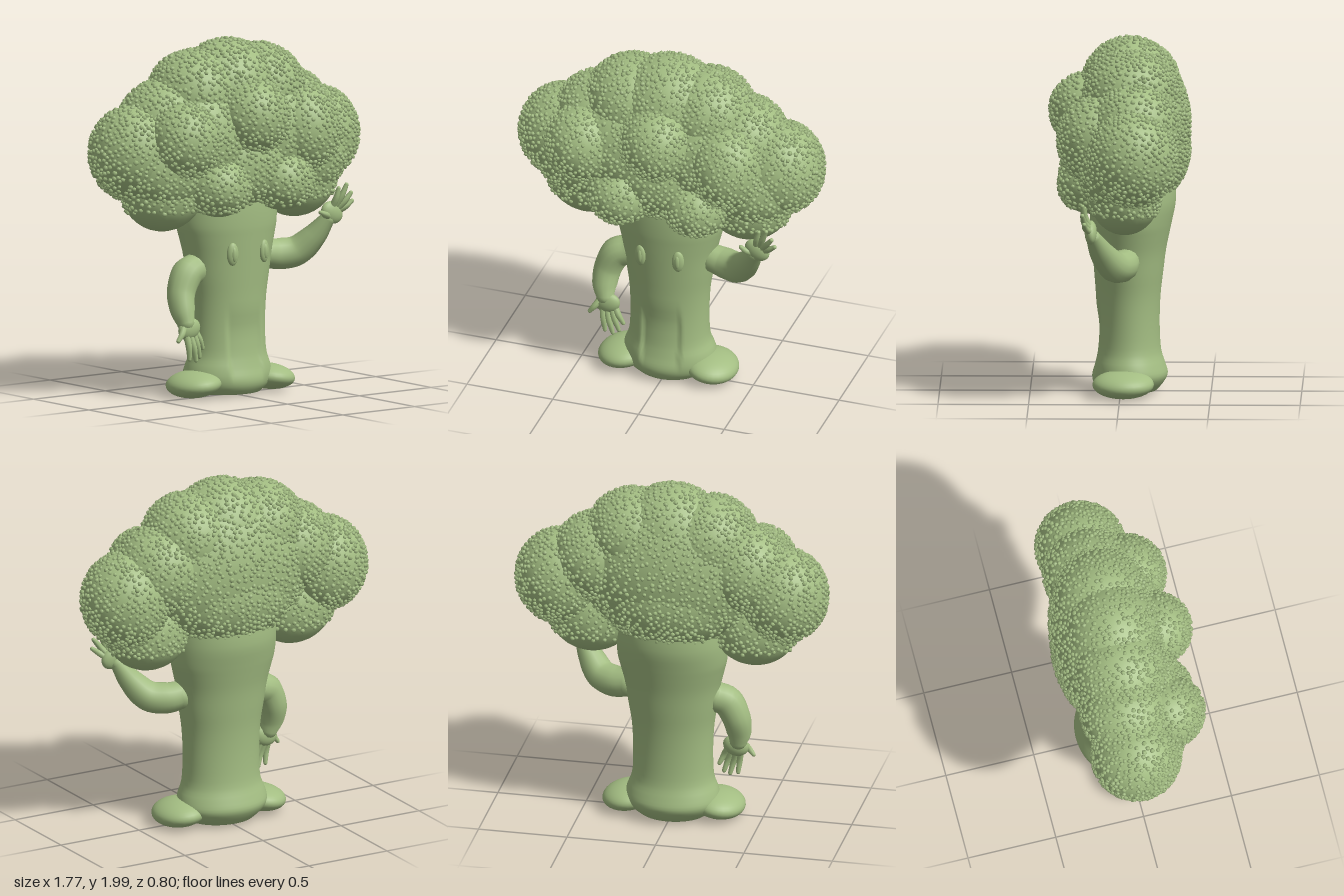
import * as THREE from 'three';
import { mergeGeometries, mergeVertices } from 'three/addons/utils/BufferGeometryUtils.js';

const green = new THREE.MeshStandardMaterial({ color: 0xa3bd82 });
green.name = 'broccoli green';

let seed = 7;
const rand = () => (seed = (seed * 16807) % 2147483647) / 2147483647;

function add(group, name, geometry) {
  const mesh = new THREE.Mesh(geometry, green);
  mesh.name = name;
  group.add(mesh);
  return mesh;
}

function ellipsoid(group, name, [x, y, z], [rx, ry, rz], ws = 32, hs = 20) {
  const mesh = add(group, name, new THREE.SphereGeometry(1, ws, hs).scale(rx, ry, rz));
  mesh.position.set(x, y, z);
  return mesh;
}

// Tube along points whose radius follows the given list, with round ends
function limb(points, radii, segments = 24, sides = 14) {
  const curve = new THREE.CatmullRomCurve3(points.map(p => new THREE.Vector3(...p)));
  const g = new THREE.TubeGeometry(curve, segments, 1, sides);
  const pos = g.attributes.position, v = new THREE.Vector3();
  for (let i = 0; i <= segments; i++) {
    const u = i / segments, c = curve.getPointAt(u);
    const f = u * (radii.length - 1), k = Math.min(Math.floor(f), radii.length - 2);
    const r = THREE.MathUtils.lerp(radii[k], radii[k + 1], f - k);
    for (let j = 0; j <= sides; j++) {
      const n = i * (sides + 1) + j;
      v.fromBufferAttribute(pos, n).sub(c).multiplyScalar(r).add(c);
      pos.setXYZ(n, v.x, v.y, v.z);
    }
  }
  const ball = (p, r) => new THREE.SphereGeometry(r, sides, 8).translate(...p);
  return mergeGeometries([g, ball(points[0], radii[0]), ball(points.at(-1), radii.at(-1))]);
}

// Crown lobes: centre, radii
const lobes = [
  [[0, 1.5, -0.07], [0.54, 0.44, 0.31]],
  [[0, 1.69, -0.05], [0.3, 0.295, 0.27]],
  [[0, 1.37, -0.1], [0.42, 0.31, 0.28]],
  [[0, 1.31, 0.08], [0.3, 0.245, 0.2]],
];
for (const s of [-1, 1]) {
  lobes.push(
    [[s * 0.22, 1.69, -0.06], [0.26, 0.25, 0.26]],
    [[s * 0.42, 1.54, -0.08], [0.25, 0.25, 0.25]],
    [[s * 0.63, 1.4, -0.075], [0.245, 0.265, 0.245]],
    [[s * 0.46, 1.18, -0.03], [0.245, 0.225, 0.2]],
    [[s * 0.22, 1.2, 0.16], [0.18, 0.165, 0.18]],
    [[s * 0.25, 1.46, 0.07], [0.28, 0.28, 0.2]],
    [[s * 0.47, 1.32, 0.02], [0.28, 0.24, 0.2]],
  );
}
lobes.push(
  [[-0.45, 1.48, 0.15], [0.2, 0.21, 0.2]],
  [[0.39, 1.47, 0.13], [0.21, 0.24, 0.21]],
  [[0, 1.58, 0.19], [0.2, 0.205, 0.2]],
);

function insideLobe(p, [c, r]) {
  return ((p.x - c[0]) / r[0]) ** 2 + ((p.y - c[1]) / r[1]) ** 2 + ((p.z - c[2]) / r[2]) ** 2 < 0.97;
}

// Little buds spread over the exposed surface of every lobe
function budGeometry() {
  const spots = [];
  const golden = Math.PI * (3 - Math.sqrt(5));
  for (const lobe of lobes) {
    const [c, r] = lobe;
    const mean = (r[0] + r[1] + r[2]) / 3;
    const count = Math.round(4 * Math.PI * mean * mean / 0.0008);
    for (let i = 0; i < count; i++) {
      const ny = THREE.MathUtils.clamp(1 - 2 * (i + 0.5) / count + (rand() - 0.5) * 0.04, -1, 1);
      const a = i * golden + (rand() - 0.5) * 0.02 / mean;
      const h = Math.sqrt(1 - ny * ny);
      const p = new THREE.Vector3(c[0] + r[0] * h * Math.cos(a), c[1] + r[1] * ny, c[2] + r[2] * h * Math.sin(a));
      if (p.y < 1.07 && ny < -0.45) continue; // bare undersides
      if (lobes.some(o => o !== lobe && insideLobe(p, o))) continue;
      if (spots.some(q => q.distanceToSquared(p) < 0.00055)) continue;
      spots.push(p);
    }
  }
  const base = new THREE.SphereGeometry(1, 5, 4);
  return mergeGeometries(spots.slice(0, 3400).map(p => {
    const s = 0.0115 + rand() * 0.004;
    return base.clone().rotateX(rand() * 3).rotateZ(rand() * 3).scale(s, s, s).translate(p.x, p.y, p.z);
  }));
}

// Trunk: rows of height, half width, back z, front z
function trunkGeometry() {
  const rows = [
    [0.02, 0.19, -0.2, 0.12], [0.06, 0.24, -0.235, 0.15], [0.11, 0.265, -0.26, 0.16],
    [0.17, 0.255, -0.245, 0.155], [0.25, 0.228, -0.222, 0.14], [0.4, 0.223, -0.215, 0.132],
    [0.55, 0.23, -0.22, 0.137], [0.68, 0.25, -0.235, 0.147], [0.8, 0.268, -0.25, 0.157],
    [0.9, 0.292, -0.27, 0.165], [0.97, 0.307, -0.285, 0.17], [1.08, 0.31, -0.305, 0.17], [1.2, 0.3, -0.3, 0.16],
  ];
  const curves = [1, 2, 3].map(k => new THREE.SplineCurve(rows.map(r => new THREE.Vector2(r[0], r[k]))));
  const levels = 40, profile = [new THREE.Vector2(0, 0)];
  for (let i = 0; i <= levels; i++) profile.push(new THREE.Vector2(1, i / levels));
  const g = new THREE.LatheGeometry(profile, 96);
  const pos = g.attributes.position;
  for (let i = 0; i < pos.count; i++) {
    const t = pos.getY(i);
    const [w, b, f] = curves.map(c => c.getPoint(t));
    const x = pos.getX(i) * w.y;
    let z = (b.y + f.y) / 2 + pos.getZ(i) * (f.y - b.y) / 2;
    // shallow hollow between the two legs
    if (pos.getZ(i) > 0) {
      const across = 1 - THREE.MathUtils.smoothstep(Math.abs(x), 0.1, 0.12);
      z -= 0.016 * across * (1 - THREE.MathUtils.smoothstep(w.x, 0.35, 0.52)) * THREE.MathUtils.smoothstep(w.x, 0.08, 0.18);
    }
    pos.setXYZ(i, x, w.x, z);
  }
  g.deleteAttribute('uv');
  g.deleteAttribute('normal');
  const merged = mergeVertices(g, 1e-4);
  merged.computeVertexNormals();
  return merged;
}

// Hand: palm ellipsoid plus fingers given as [base, tip]
function hand(group, name, palm, size, tilt, fingers) {
  const part = new THREE.Group();
  part.name = name;
  ellipsoid(part, 'palm', palm, size, 20, 14).rotation.z = tilt;
  for (const [a, b] of fingers) {
    const mid = [(a[0] + b[0]) / 2, (a[1] + b[1]) / 2, (a[2] + b[2]) / 2 + 0.01];
    add(part, 'finger', limb([a, mid, b], [0.02, 0.018, 0.012], 6, 8));
  }
  group.add(part);
}

export function createModel() {
  const model = new THREE.Group();
  model.name = 'broccoliFigure';

  add(model, 'trunk', trunkGeometry());
  const crown = new THREE.Group();
  crown.name = 'crown';
  for (const [c, r] of lobes) ellipsoid(crown, 'lobe', c, r, 28, 18);
  add(crown, 'buds', budGeometry());
  model.add(crown);

  for (const s of [-1, 1]) {
    // Feet
    ellipsoid(model, 'foot', [s * 0.255, 0.084, -0.018], [0.147, 0.073, 0.17]).rotation.z = -s * 0.13;
    // Eyes with a narrow raised pupil
    const eye = new THREE.Group();
    eye.name = 'eye';
    ellipsoid(eye, 'eyeball', [0, 0, 0], [0.034, 0.064, 0.02], 24, 16);
    ellipsoid(eye, 'pupil', [-s * 0.004, 0, 0.011], [0.016, 0.042, 0.014], 16, 12);
    eye.position.set(s * 0.11, 0.813, 0.146);
    eye.rotation.y = s * 0.25;
    model.add(eye);
  }

  // Lowered arm
  add(model, 'loweredArm', limb(
    [[-0.24, 0.725, -0.03], [-0.3, 0.7, -0.02], [-0.35, 0.6, -0.01], [-0.36, 0.5, 0.02], [-0.352, 0.44, 0.035]],
    [0.085, 0.088, 0.082, 0.077, 0.07, 0.05]));
  hand(model, 'loweredHand', [-0.335, 0.405, 0.045], [0.073, 0.06, 0.036], 0.3, [
    [[-0.375, 0.42, 0.05], [-0.43, 0.348, 0.07]],
    [[-0.36, 0.38, 0.05], [-0.345, 0.238, 0.06]],
    [[-0.335, 0.37, 0.05], [-0.3, 0.228, 0.06]],
    [[-0.31, 0.38, 0.045], [-0.268, 0.245, 0.05]],
    [[-0.295, 0.395, 0.04], [-0.243, 0.29, 0.045]],
  ]);

  // Raised, waving arm
  add(model, 'raisedArm', limb(
    [[0.26, 0.765, -0.03], [0.33, 0.757, -0.015], [0.42, 0.77, 0.03], [0.495, 0.85, 0.09], [0.555, 0.95, 0.14]],
    [0.08, 0.088, 0.086, 0.078, 0.062, 0.042]));
  hand(model, 'raisedHand', [0.575, 0.985, 0.155], [0.075, 0.06, 0.034], -0.55, [
    [[0.55, 0.965, 0.16], [0.485, 0.995, 0.17]],
    [[0.57, 1.015, 0.16], [0.595, 1.122, 0.19]],
    [[0.59, 1.015, 0.16], [0.642, 1.14, 0.2]],
    [[0.605, 1.005, 0.16], [0.673, 1.092, 0.2]],
    [[0.615, 0.99, 0.155], [0.688, 1.045, 0.19]],
  ]);

  return model;
}
